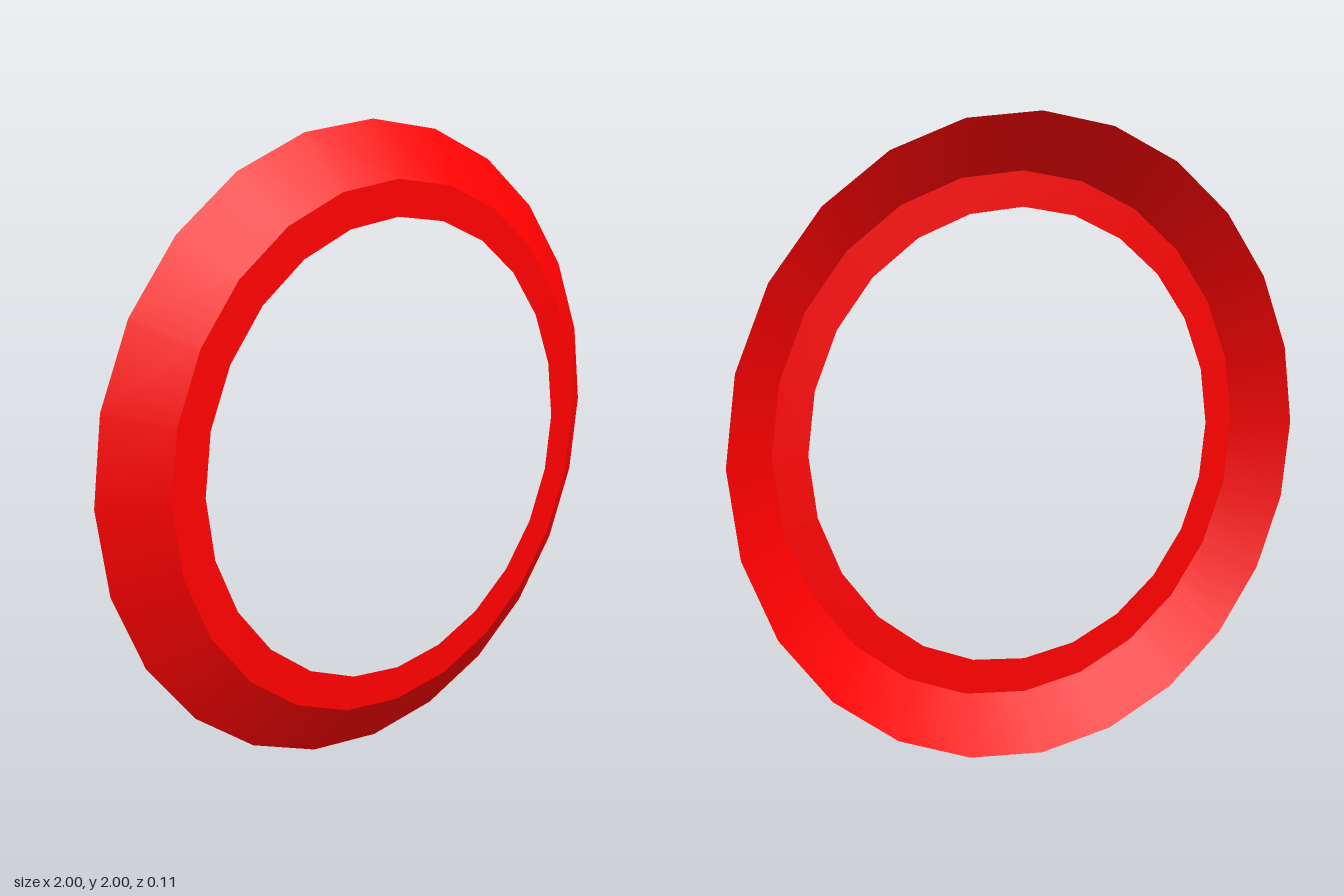
import * as THREE from 'three';

const SIDES = 24;
const HALF_DEPTH = 0.057;

export function createModel() {
  const group = new THREE.Group();
  group.name = 'bevelledRing';
  const red = new THREE.MeshStandardMaterial({ color: 0xff0000, side: THREE.DoubleSide });

  // Thin band turned around the z axis, from one [radius, z] to another
  const addBand = (name, from, to) => {
    const profile = [new THREE.Vector2(...from), new THREE.Vector2(...to)];
    const geometry = new THREE.LatheGeometry(profile, SIDES);
    geometry.rotateX(Math.PI / 2);
    const mesh = new THREE.Mesh(geometry, red);
    mesh.name = name;
    mesh.position.y = 1;
    group.add(mesh);
  };

  // Sloped outer skirt, open at the back
  addBand('slopedRim', [1, -HALF_DEPTH], [0.83, HALF_DEPTH]);
  // Flat front lip around the opening
  addBand('frontLip', [0.83, HALF_DEPTH], [0.72, HALF_DEPTH]);

  return group;
}
